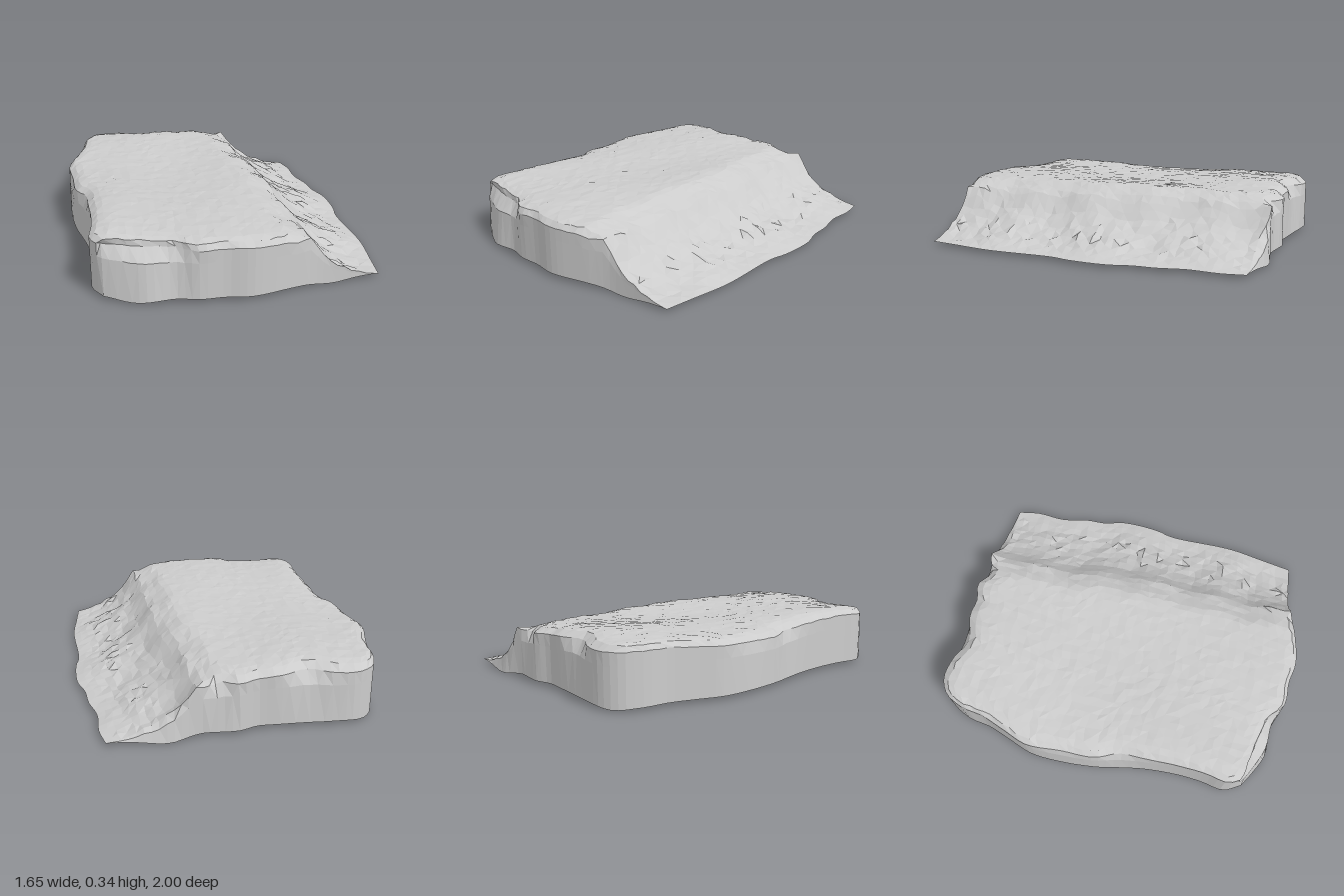
import * as THREE from 'three';

const NU = 38, NV = 42;
const { smoothstep, lerp } = THREE.MathUtils;

// Outline edges: [x, z, inset of the top rim]
const edge = (pts) => new THREE.CatmullRomCurve3(pts.map(([x, z, inset = 0]) => new THREE.Vector3(x, inset, z)));
const back = edge([[-0.65, -0.93], [-0.61, -0.97], [-0.53, -1], [-0.4, -0.995, 0.02], [-0.3, -0.98, 0.06], [-0.13, -0.96],
  [-0.02, -0.95], [0.08, -0.975], [0.17, -0.965, 0.05], [0.27, -0.95], [0.34, -0.96, 0.01], [0.43, -0.975, 0.055], [0.75, -0.93]]);
const front = edge([[-0.73, 0.83, 0.04], [-0.63, 0.89, 0.07], [-0.52, 0.94, 0.09], [-0.37, 0.94, 0.05], [-0.27, 0.97],
  [-0.13, 0.975], [0, 0.997], [0.2, 0.96], [0.35, 0.925, 0.01], [0.45, 0.915], [0.72, 0.9]]);
const left = edge([[-0.65, -0.93], [-0.69, -0.84], [-0.71, -0.72], [-0.765, -0.57], [-0.815, -0.43], [-0.825, -0.23, 0.02],
  [-0.81, -0.03, 0.01], [-0.785, 0.1, 0.035], [-0.76, 0.25, 0.01], [-0.75, 0.45], [-0.76, 0.6], [-0.78, 0.73], [-0.73, 0.83]]);
const right = edge([[0.75, -0.93], [0.77, -0.8], [0.76, -0.63], [0.79, -0.48], [0.795, -0.35], [0.825, -0.23],
  [0.815, 0], [0.79, 0.1], [0.785, 0.5], [0.75, 0.72], [0.72, 0.9]]);

// Seeded value in -1..1 for small surface irregularities
const jitter = (a, b) => {
  const n = Math.sin(a * 127.1 + b * 311.7) * 43758.5453;
  return (n - Math.floor(n)) * 2 - 1;
};

// Ramp below the crest: [fraction of the way out, height]
const ramp = [[0, 0.28], [0.08, 0.235], [0.2, 0.178], [0.4, 0.118], [0.7, 0.058], [1, 0.02]];
const rampHeight = (s) => {
  const k = Math.max(1, ramp.findIndex((p) => p[0] >= Math.min(s, 1)));
  const [a, b] = [ramp[k - 1], ramp[k]];
  return lerp(a[1], b[1], (Math.min(s, 1) - a[0]) / (b[0] - a[0]));
};
const crestAt = (z) => 0.31 + 0.02 * Math.sin(z * 5 + 1.5) + 0.012 * Math.sin(z * 17) + 0.02 * z;

function surfaceHeight(x, z, xEnd, u, v, i, j) {
  const crest = crestAt(z);
  const s = (x - crest) / (xEnd - crest);
  if (s > 0) {
    const rough = Math.sin(Math.PI * Math.min(s, 1));
    return rampHeight(s) + rough * (0.011 * Math.sin(z * 11 + x * 4) + 0.01 * jitter(i, j) - 0.012 * smoothstep(z, 0.5, 0.9));
  }
  let y = 0.328 + 0.012 * Math.sin(z * 4.6 - 1) * smoothstep(-x, -0.2, 0.4) + 0.005 * Math.sin(x * 9 + z * 3) + 0.003 * jitter(i, j);
  y -= 0.045 * smoothstep(x, crest - 0.14, crest);
  // Soft shoulders along the outer rim
  const rim = Math.min(u * 1.5, v * 1.9, (1 - v) * 1.9);
  return y - 0.04 * Math.exp(-rim / 0.035) * smoothstep(crest - x, 0, 0.1);
}

// Grid of top points spanned between the four edges
function buildGrid() {
  const curves = [back, front].map((c) => c.getSpacedPoints(NU));
  const sides = [left, right].map((c) => c.getSpacedPoints(NV));
  curves[0].forEach((p) => { p.z += p.y; });
  curves[1].forEach((p) => { p.z -= p.y; });
  sides[0].forEach((p) => { p.x += p.y; });
  const [b, f] = curves, [l, r] = sides;
  l[0].copy(b[0]);
  l[NV].copy(f[0]);
  const grid = [];
  for (let j = 0; j <= NV; j++) {
    const row = [];
    for (let i = 0; i <= NU; i++) {
      const u = i / NU, v = j / NV;
      const blend = (k) => lerp(l[j][k], r[j][k], u) + lerp(b[i][k], f[i][k], v)
        - lerp(lerp(b[0][k], b[NU][k], u), lerp(f[0][k], f[NU][k], u), v);
      const inner = i > 0 && i < NU && j > 0 && j < NV ? 0.008 : 0;
      const x = blend('x') + inner * jitter(i + 3, j), z = blend('z') + inner * jitter(i, j + 5);
      row.push(new THREE.Vector3(x, surfaceHeight(x, z, r[j].x, u, v, i, j), z));
    }
    grid.push(row);
  }
  return grid;
}

// Mesh from rows of points
function sheet(name, rows, material) {
  const w = rows[0].length, index = [];
  for (let j = 0; j < rows.length - 1; j++) {
    for (let i = 0; i < w - 1; i++) {
      const a = j * w + i, c = a + w;
      if ((i + j) % 2) index.push(a, c, a + 1, a + 1, c, c + 1);
      else index.push(a, c, c + 1, a, c + 1, a + 1);
    }
  }
  const geometry = new THREE.BufferGeometry().setFromPoints(rows.flat());
  geometry.setIndex(index);
  geometry.computeVertexNormals();
  const mesh = new THREE.Mesh(geometry, material);
  mesh.name = name;
  return mesh;
}

// Wall hanging from a top rim down to the lower outline
function wall(name, rim, curve, material) {
  const lower = curve.getSpacedPoints(rim.length - 1).map((p, i) => {
    const dip = 0.02 * Math.exp(-(((p.x - 0.45) / 0.12) ** 2)) + 0.012 * Math.exp(-(((p.x + 0.6) / 0.08) ** 2));
    return new THREE.Vector3(p.x, Math.min(rim[i].y, 0.022 - dip), p.z);
  });
  const shoulder = rim.map((p, i) => p.clone().lerp(lower[i], 0.25).lerp(new THREE.Vector3(lower[i].x, lerp(p.y, lower[i].y, 0.25), lower[i].z), 0.6));
  return sheet(name, [rim, shoulder, lower], material);
}

export function createModel() {
  const group = new THREE.Group();
  group.name = 'rockLedge';
  const material = new THREE.MeshStandardMaterial({ color: 0xcccccc, flatShading: true, side: THREE.DoubleSide });
  const grid = buildGrid();

  // Plateau with the cliff and ramp on one side; the underside is open
  group.add(sheet('ledgeTop', grid, material));
  group.add(wall('frontWall', grid[NV], front, material));
  group.add(wall('backWall', [...grid[0]].reverse(), edge(back.points.map((p) => [p.x, p.z]).reverse()), material));
  group.add(wall('sideWall', grid.map((row) => row[0]), left, material));
  return group;
}
